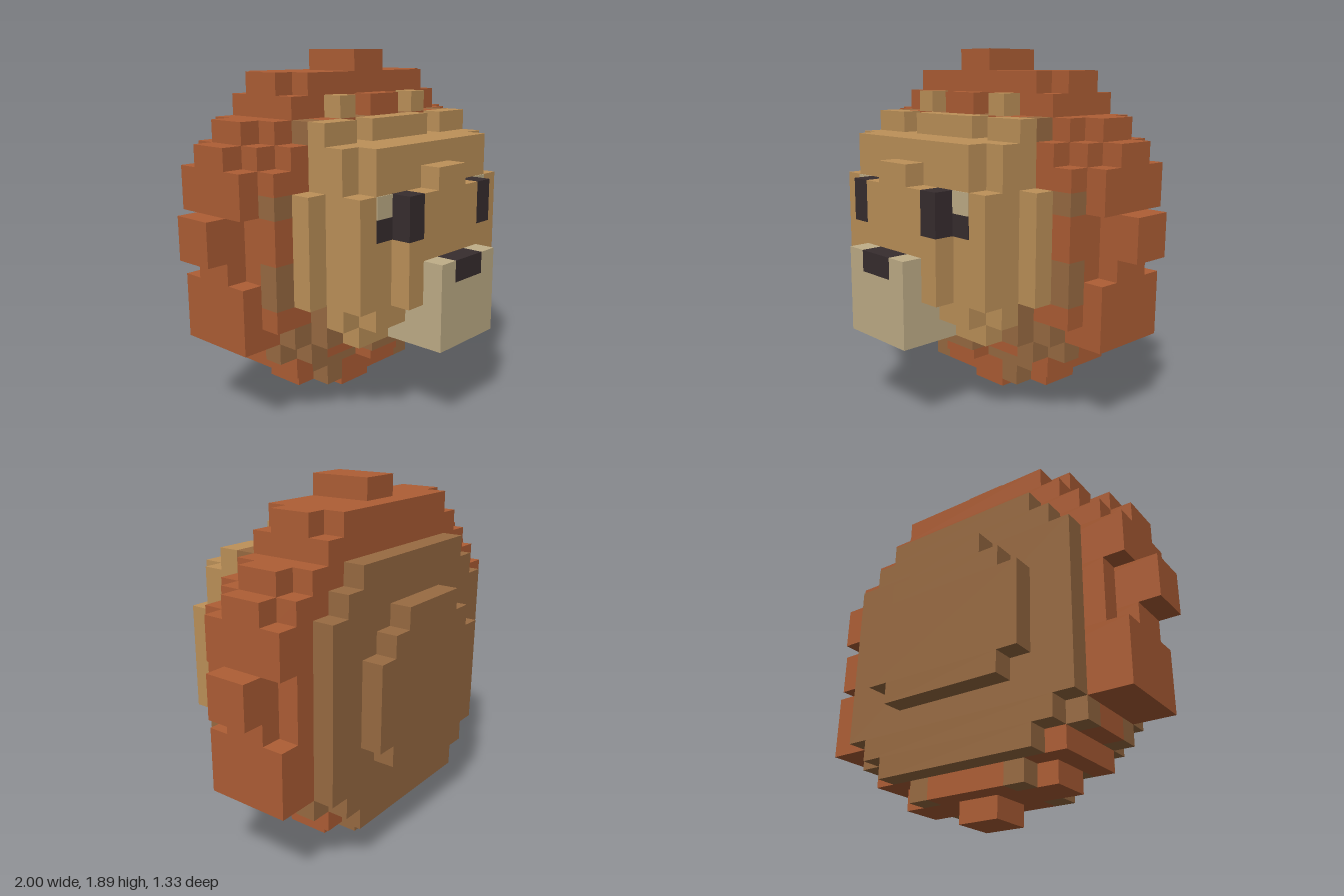
import * as THREE from 'three';

const U = 1 / 9; // size of one block

const COLORS = { maneOrange: 0xae5e35, maneBrown: 0x996b42, furTan: 0xbd9159, muzzleCream: 0xc0ae88, darkBrown: 0x372d2f };

export function createModel() {
  const model = new THREE.Group();
  model.name = 'lionHead';
  const mats = {};
  for (const [name, color] of Object.entries(COLORS)) {
    mats[name] = new THREE.MeshStandardMaterial({ color });
    mats[name].name = name;
  }
  const { maneOrange: O, maneBrown: B, furTan: T, muzzleCream: C, darkBrown: D } = mats;

  const part = (name) => {
    const g = new THREE.Group();
    g.name = name;
    model.add(g);
    return g;
  };
  // One block, limits in block units
  const block = (g, mat, x0, x1, y0, y1, z0, z1) => {
    const m = new THREE.Mesh(new THREE.BoxGeometry((x1 - x0) * U, (y1 - y0) * U, (z1 - z0) * U), mat);
    m.position.set((x0 + x1) * U / 2, (y0 + y1) * U / 2, (z0 + z1) * U / 2);
    m.name = g.name + 'Block';
    g.add(m);
  };
  // Block mirrored to both sides
  const pair = (g, mat, x0, x1, ...r) => {
    block(g, mat, x0, x1, ...r);
    block(g, mat, -x1, -x0, ...r);
  };
  // Slab of centred rows: [half width, y0, y1]
  const slab = (g, mat, z0, z1, rows) => rows.forEach(([w, y0, y1]) => block(g, mat, -w, w, y0, y1, z0, z1));

  // Thick middle ring of the mane
  const mane = part('mane');
  slab(mane, O, -3, -1, [[1, 0, 1], [4, 1, 2], [5, 2, 3], [6, 3, 4], [8, 4, 8], [9, 8, 10], [8, 10, 13], [7, 13, 14], [5, 14, 16]]);
  block(mane, O, -1, 1, 16, 17, -3, 0);
  for (const z of [-4, -1]) {
    slab(mane, O, z, z + 1, [[2, 1, 2], [5, 3, 4], [8, 4, 7], [7, 7, 10], [8, 10, 12], [7, 12, 13], [6, 13, 14], [5, 14, 15], [4, 15, 16]]);
    pair(mane, B, 2, 3, 1, 2, z, z + 1);
    pair(mane, B, 5, 6, 3, 4, z, z + 1);
  }
  block(mane, O, -5, 5, 2, 3, -4, -3);
  block(mane, O, -1, 1, 2, 3, -1, 1);
  pair(mane, B, 1, 4, 2, 3, -1, 0);
  pair(mane, O, 4, 5, 2, 3, -1, 0);

  // Front fringe of the mane around the face
  const fringe = part('maneFringe');
  slab(fringe, O, 0, 1, [[4, 3, 4], [5, 4, 5], [7, 5, 6], [6, 6, 8], [7, 8, 10], [6, 10, 11], [7, 11, 12], [6, 12, 13], [1, 13, 15]]);
  pair(fringe, B, 4, 5, 3, 4, 0, 1);
  pair(fringe, B, 5, 6, 4, 5, 0, 1);
  pair(fringe, B, 6, 7, 6, 8, 0, 1);
  pair(fringe, B, 6, 7, 10, 11, 0, 1);
  pair(fringe, B, 1, 2, 13, 14, 0, 1);
  pair(fringe, O, 2, 4, 13, 14, 0, 1);
  pair(fringe, B, 4, 5, 13, 14, 0, 1);
  slab(fringe, B, 1, 2, [[2, 3, 4], [5, 4, 6]]);

  // Stepped back of the head
  const back = part('headBack');
  slab(back, B, -5, -4, [[4, 2, 3], [5, 3, 4], [6, 4, 12], [5, 12, 13], [4, 13, 14]]);
  slab(back, B, -6, -5, [[3, 5, 6], [4, 6, 10], [3, 10, 11], [2, 11, 12]]);

  // Face, built forward in layers
  const face = part('face');
  slab(face, T, 1, 2, [[6, 6, 11], [5, 11, 13], [2, 13, 14]]);
  pair(face, T, 3, 5, 13, 14, 1, 2);
  slab(face, T, 2, 3, [[4, 4, 5], [5, 5, 13]]);
  slab(face, T, 3, 4, [[4, 5, 6], [5, 6, 11], [4, 11, 13]]);
  slab(face, T, 4, 5, [[3, 6, 9], [2, 9, 11], [1, 11, 12]]);

  // Ears
  pair(part('ear'), T, 2, 3, 14, 15, 0, 1);

  // Eyes: raised pupil with flat outer patches
  const eyes = part('eye');
  pair(eyes, D, 2, 3, 9, 11, 4, 5);
  pair(eyes, D, 3, 4, 9, 10, 4, 4.05);
  pair(eyes, C, 3, 4, 10, 11, 4, 4.05);

  // Muzzle and nose
  const muzzle = part('muzzle');
  block(muzzle, C, -2, 2, 4, 7, 3, 6);
  pair(muzzle, C, 1, 2, 7, 8, 5, 6);
  block(part('nose'), D, -1, 1, 7, 8, 5, 6);

  return model;
}
